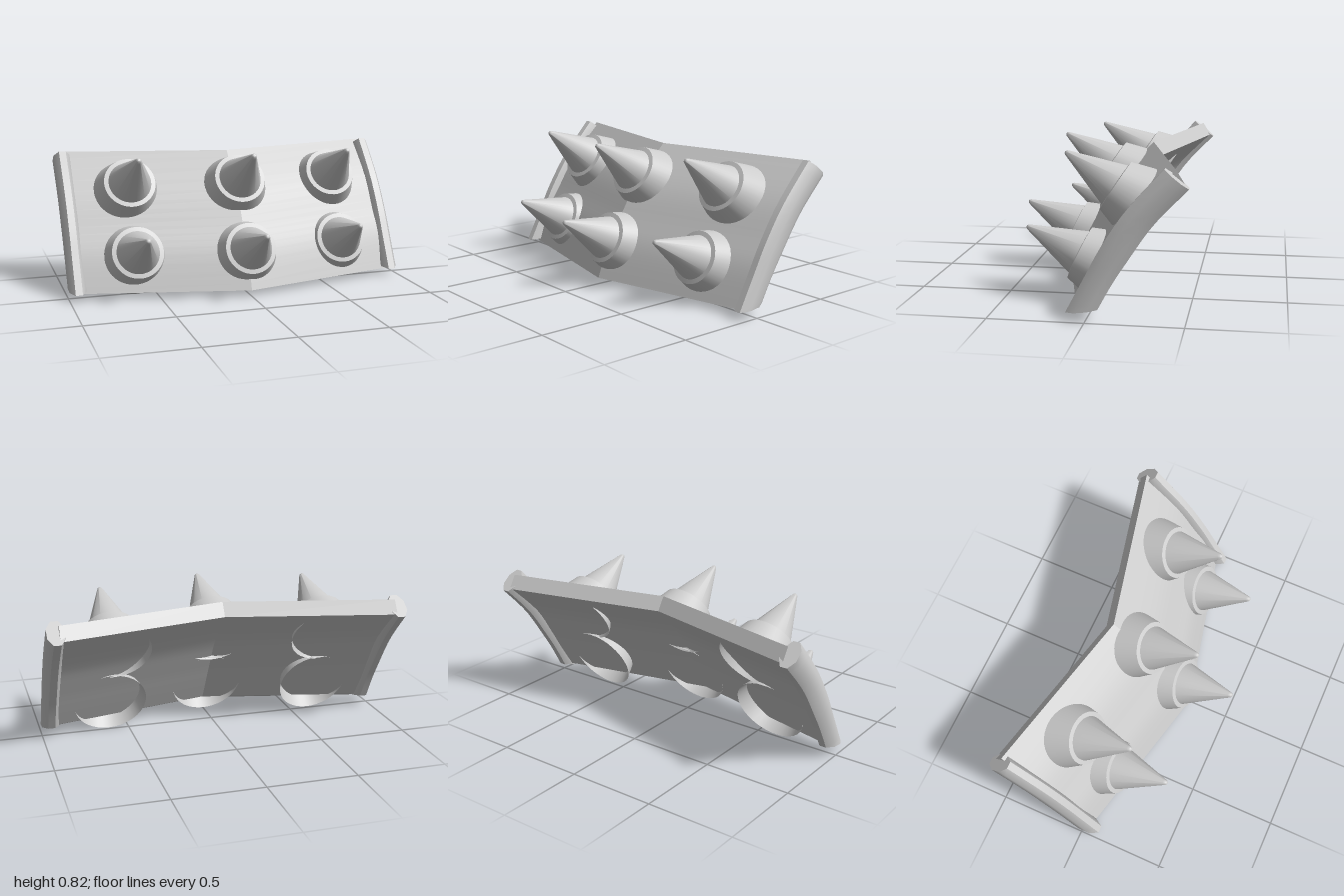
import * as THREE from 'three';
import { toCreasedNormals } from 'three/addons/utils/BufferGeometryUtils.js';

const V2 = (p) => new THREE.Vector2(p[0], p[1]);
const spline = (pts) => new THREE.SplineCurve(pts.map(V2));
const material = new THREE.MeshStandardMaterial({ color: 0xcccccc, side: THREE.DoubleSide });

function add(parent, name, geometry) {
  const mesh = new THREE.Mesh(geometry, material);
  mesh.name = name;
  parent.add(mesh);
  return mesh;
}

// Curved slab extruded along x, then swept back on both sides into a V
function plateGeometry() {
  const front = [[0.265, 0.042], [0.187, 0.241], [0.098, 0.387], [-0.025, 0.571], [-0.225, 0.775]];
  const back = [[0.188, 0.075], [0.113, 0.199], [0.026, 0.343], [-0.091, 0.519], [-0.272, 0.7]];
  const outline = [...spline(front).getPoints(16), ...spline(back).getPoints(16).reverse()];
  const shape = new THREE.Shape(outline.map((p) => new THREE.Vector2(-p.x, p.y)));
  const width = 1.87;
  const geo = new THREE.ExtrudeGeometry(shape, { depth: width, steps: 2, bevelEnabled: false });
  geo.translate(0, 0, -width / 2);
  geo.rotateY(Math.PI / 2);
  const pos = geo.attributes.position;
  for (let i = 0; i < pos.count; i++) pos.setZ(i, pos.getZ(i) - 0.235 * Math.abs(pos.getX(i)));
  return toCreasedNormals(geo, 0.2);
}

// Eight-sided bar bent between a front curve and a back curve
function railGeometry() {
  const front = spline([[0.1, 0.05], [0, 0.24], [-0.08, 0.39], [-0.203, 0.575], [-0.39, 0.785]]);
  const back = spline([[-0.063, 0.07], [-0.134, 0.2], [-0.21, 0.32], [-0.34, 0.51], [-0.51, 0.69]]);
  const geo = new THREE.CylinderGeometry(1, 1, 1, 8, 14);
  geo.rotateY(Math.PI / 8);
  const pos = geo.attributes.position;
  const k = 1 / Math.cos(Math.PI / 8);
  for (let i = 0; i < pos.count; i++) {
    const t = THREE.MathUtils.clamp(pos.getY(i) + 0.5, 0, 1);
    const p = back.getPoint(t).lerp(front.getPoint(t), 0.5 + 0.5 * k * pos.getZ(i));
    pos.setXYZ(i, 0.048 * k * pos.getX(i), p.y, p.x);
  }
  return toCreasedNormals(geo, 0.9);
}

// Round-tipped cone on a flared open collar, axis along y, origin at the collar rim
function makeSpike(name) {
  const spike = new THREE.Group();
  spike.name = name;
  const lathe = (pts) => toCreasedNormals(new THREE.LatheGeometry(pts.map(V2), 40), 0.6);
  add(spike, 'collar', lathe([[0.205, -0.176], [0.148, 0], [0.12, 0.004]]));
  add(spike, 'cone', lathe([[0.126, -0.005], [0.018, 0.296], [0.013, 0.309], [0.007, 0.315], [0, 0.317]]));
  return spike;
}

export function createModel() {
  const model = new THREE.Group();
  model.name = 'spikedPlate';

  add(model, 'plate', plateGeometry());

  const rail = railGeometry();
  add(model, 'leftRail', rail).position.x = 0.952;
  add(model, 'rightRail', rail).position.x = -0.952;

  // Two rows of three spikes, the middle one set forward on the ridge
  const rows = [
    { name: 'lowerSpike', tilt: 25, side: [0.267, 0.09], middle: [0.278, 0.225] },
    { name: 'upperSpike', tilt: 33, side: [0.632, -0.1], middle: [0.645, 0.015] },
  ];
  for (const row of rows) {
    for (const x of [-0.614, 0.008, 0.614]) {
      const [y, z] = Math.abs(x) < 0.1 ? row.middle : row.side;
      const spike = makeSpike(row.name);
      spike.position.set(x, y, z);
      spike.rotation.x = THREE.MathUtils.degToRad(90 - row.tilt);
      model.add(spike);
    }
  }
  return model;
}
